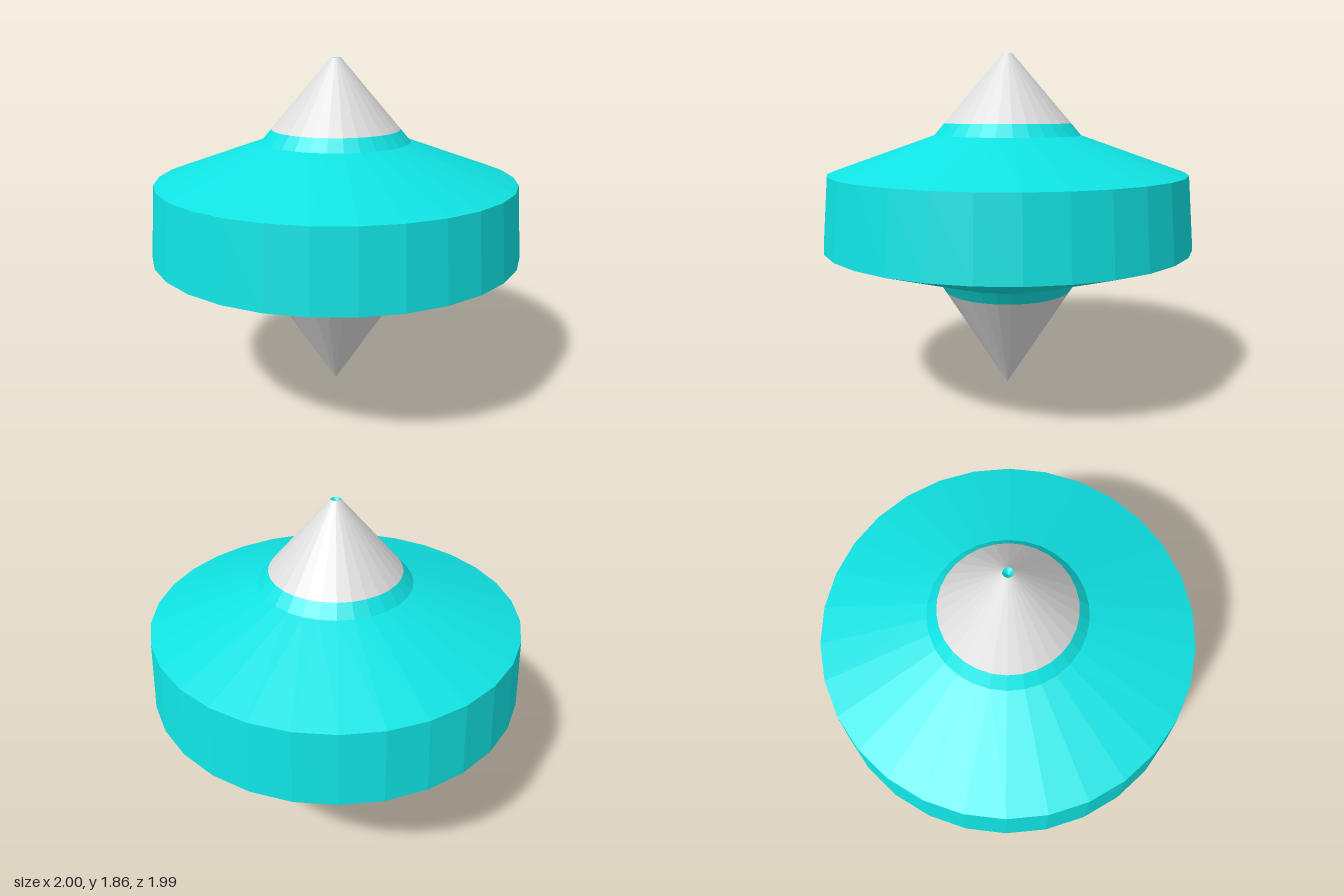
import * as THREE from 'three';

const SIDES = 30;

const teal = new THREE.MeshStandardMaterial({ color: 0x10e2e2 });
teal.name = 'teal';
const lightGrey = new THREE.MeshStandardMaterial({ color: 0xdcdddc });
lightGrey.name = 'lightGrey';

// Faceted ring turned around y; the profile runs from bottom to top as [radius, y]
function turned(name, profile, material) {
  const points = profile.map(([r, y]) => new THREE.Vector2(r, y));
  const geometry = new THREE.LatheGeometry(points, SIDES, Math.PI / 2).toNonIndexed();
  geometry.computeVertexNormals();
  const mesh = new THREE.Mesh(geometry, material);
  mesh.name = name;
  return mesh;
}

export function createModel() {
  const group = new THREE.Group();
  group.name = 'spinningTop';

  // Pointed foot
  group.add(turned('lowerTip', [[0, 0], [0.356, 0.565]], lightGrey));

  // Body: lower collar, underside, rim band, shoulder, upper collar
  group.add(turned('body', [
    [0.356, 0.565], [0.4, 0.635], [1, 0.83],
    [0.967, 1.22], [0.4, 1.42], [0.345, 1.485],
  ], teal));

  // Upper cone with a tiny dimple at its blunt end
  group.add(turned('upperTip', [[0.345, 1.485], [0.025, 1.855]], lightGrey));
  group.add(turned('tipDimple', [[0.025, 1.855], [0, 1.83]], teal));

  return group;
}
